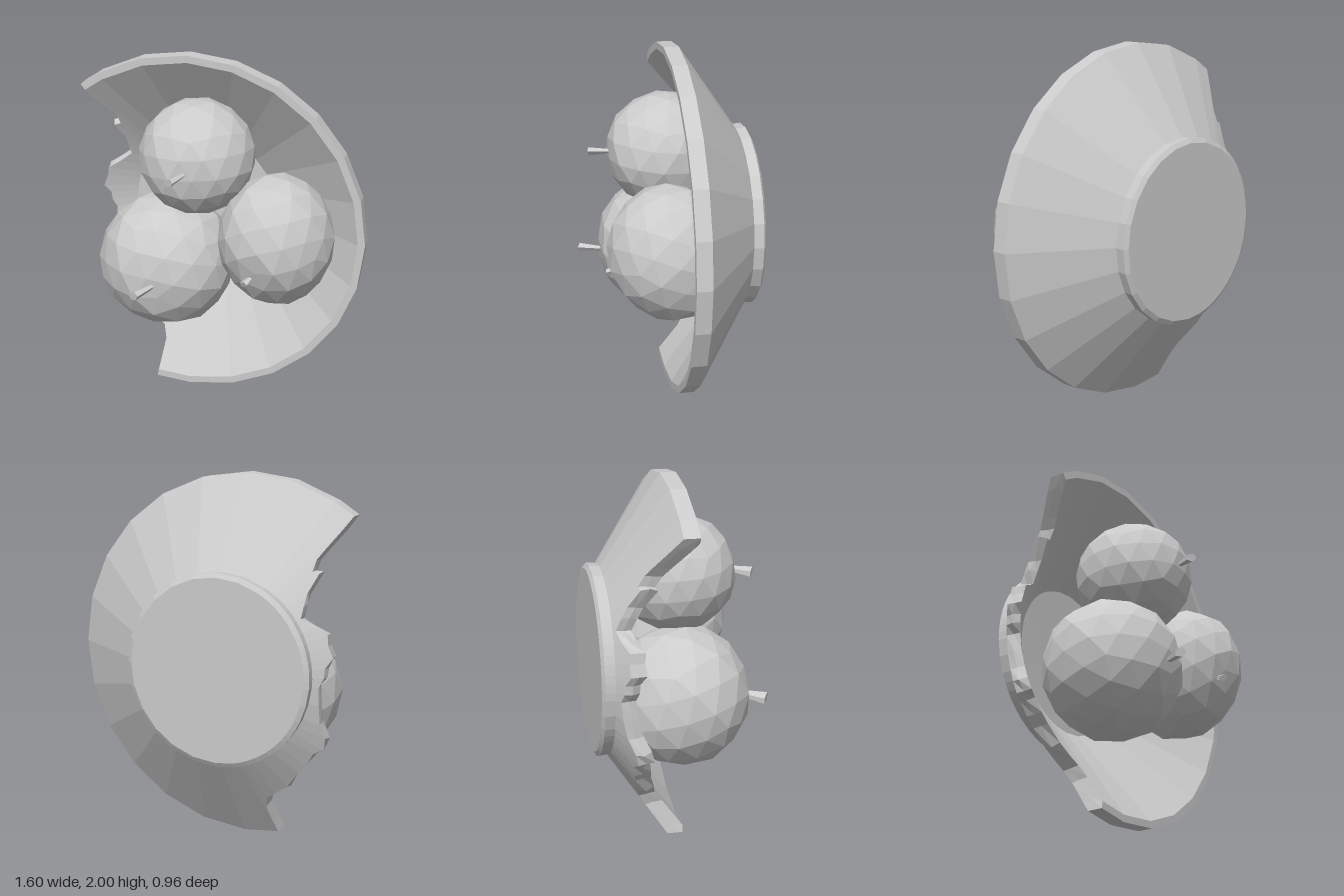
import * as THREE from 'three';

const grey = () => new THREE.MeshStandardMaterial({ color: 0xcccccc, flatShading: true });
const CX = -0.2, CY = 1; // bowl axis, running along z

// Bowl swept around its axis; along the broken side each section stops at a smaller radius
function makeBowl() {
  const sections = [[-101.6, 1]];
  for (let deg = -90; deg <= 120; deg += 15) sections.push([deg, 1]);
  sections.push([127.2, 1]);
  sections.push( // jagged break: angle, radius
    [127.6, 0.93], [127.9, 0.86], [128.2, 0.8], [128.6, 0.75], [131, 0.7], [133.5, 0.715],
    [137, 0.62], [141, 0.575], [145.7, 0.535], [153, 0.565], [159, 0.61], [164, 0.6],
    [170.4, 0.61], [175, 0.57], [180, 0.565], [185, 0.545], [195, 0.56],
    [205, 0.595], [211, 0.65], [216.5, 0.675], [221, 0.65], [228, 0.67], [234, 0.68],
    [242.7, 0.72], [250, 0.74], [254.5, 0.76], [257.3, 0.82], [258, 0.91]);

  const outerZ = r => -0.41 + (r - 0.515) / 0.485 * 0.325;
  const innerZ = r => (r - 0.96) * 0.72;
  const profile = R => {
    const zo = outerZ(R), ri = R === 1 ? 0.96 : R - 0.015, zi = innerZ(ri);
    const chip = R === 1 ? 0 : 0.01 * Math.sin(R * 90);
    return [[0, -0.48], [0.495, -0.48], [0.52, -0.465], [0.515, -0.41], [R, zo],
      [R + chip, R === 1 ? 0 : (zo + zi) / 2], [ri, zi], [0.42, innerZ(0.42)], [0, -0.4]];
  };

  const pos = [], index = [], n = profile(1).length;
  for (const [deg, R] of sections) {
    const a = THREE.MathUtils.degToRad(deg);
    for (const [r, z] of profile(R)) pos.push(CX + r * Math.cos(a), CY + r * Math.sin(a), z);
  }
  sections.forEach((_, s) => {
    const a = s * n, b = ((s + 1) % sections.length) * n;
    for (let j = 0; j < n - 1; j++) {
      if (j > 0) index.push(a + j, b + j, b + j + 1);
      if (j < n - 2) index.push(a + j, b + j + 1, a + j + 1);
    }
  });
  const geo = new THREE.BufferGeometry();
  geo.setAttribute('position', new THREE.Float32BufferAttribute(pos, 3));
  geo.setIndex(index);
  const flat = geo.toNonIndexed();
  flat.computeVertexNormals();
  const bowl = new THREE.Mesh(flat, grey());
  bowl.name = 'brokenBowl';
  return bowl;
}

// Faceted, slightly uneven fruit with a small dimple around the stem
function makeFruit({ center, radii, tilt, base, tip, width }) {
  const group = new THREE.Group();
  group.name = 'fruit';
  const c = new THREE.Vector3(...center), from = new THREE.Vector3(...base), to = new THREE.Vector3(...tip);
  const scale = new THREE.Vector3(...radii);
  const turn = new THREE.Euler(tilt, 0, 0);
  const stemDir = from.clone().sub(c).normalize();

  const geo = new THREE.IcosahedronGeometry(1, 2);
  const p = geo.attributes.position, v = new THREE.Vector3();
  const spin = new THREE.Euler(0.4 + c.x, 0.3 + c.y, 0.2);
  for (let i = 0; i < p.count; i++) {
    v.fromBufferAttribute(p, i).applyEuler(spin);
    const bump = 1.015 + 0.012 * Math.sin(v.x * 7 + v.y * 5 + v.z * 6);
    v.multiply(scale).applyEuler(turn);
    const near = Math.max(0, v.clone().normalize().dot(stemDir) - 0.95) / 0.05;
    v.multiplyScalar(bump * (1 - 0.05 * near)).add(c);
    p.setXYZ(i, v.x, v.y, v.z);
  }
  geo.computeVertexNormals();
  const body = new THREE.Mesh(geo, grey());
  body.name = 'fruitBody';

  // Stem widens toward its cut end
  const axis = to.clone().sub(from), length = axis.length();
  const stem = new THREE.Mesh(new THREE.CylinderGeometry(width, width * 0.4, length, 5), grey());
  stem.name = 'stem';
  stem.scale.z = 0.65;
  stem.position.copy(from).add(to).multiplyScalar(0.5);
  stem.quaternion.setFromUnitVectors(new THREE.Vector3(0, 1, 0), axis.normalize());
  group.add(body, stem);
  return group;
}

export function createModel() {
  const model = new THREE.Group();
  model.name = 'brokenFruitBowl';
  model.add(makeBowl());
  const fruits = [
    { center: [-0.14, 1.443, 0.008], radii: [0.315, 0.315, 0.325], tilt: 0,
      base: [-0.12, 1.45, 0.28], tip: [-0.185, 1.435, 0.42], width: 0.036 },
    { center: [-0.322, 0.81, 0], radii: [0.38, 0.38, 0.372], tilt: 0,
      base: [-0.29, 0.79, 0.31], tip: [-0.38, 0.775, 0.465], width: 0.04 },
    { center: [0.317, 1.012, 0.045], radii: [0.318, 0.376, 0.338], tilt: 0.35,
      base: [0.25, 0.91, 0.3], tip: [0.21, 0.875, 0.375], width: 0.03 },
  ];
  for (const f of fruits) model.add(makeFruit(f));
  return model;
}
